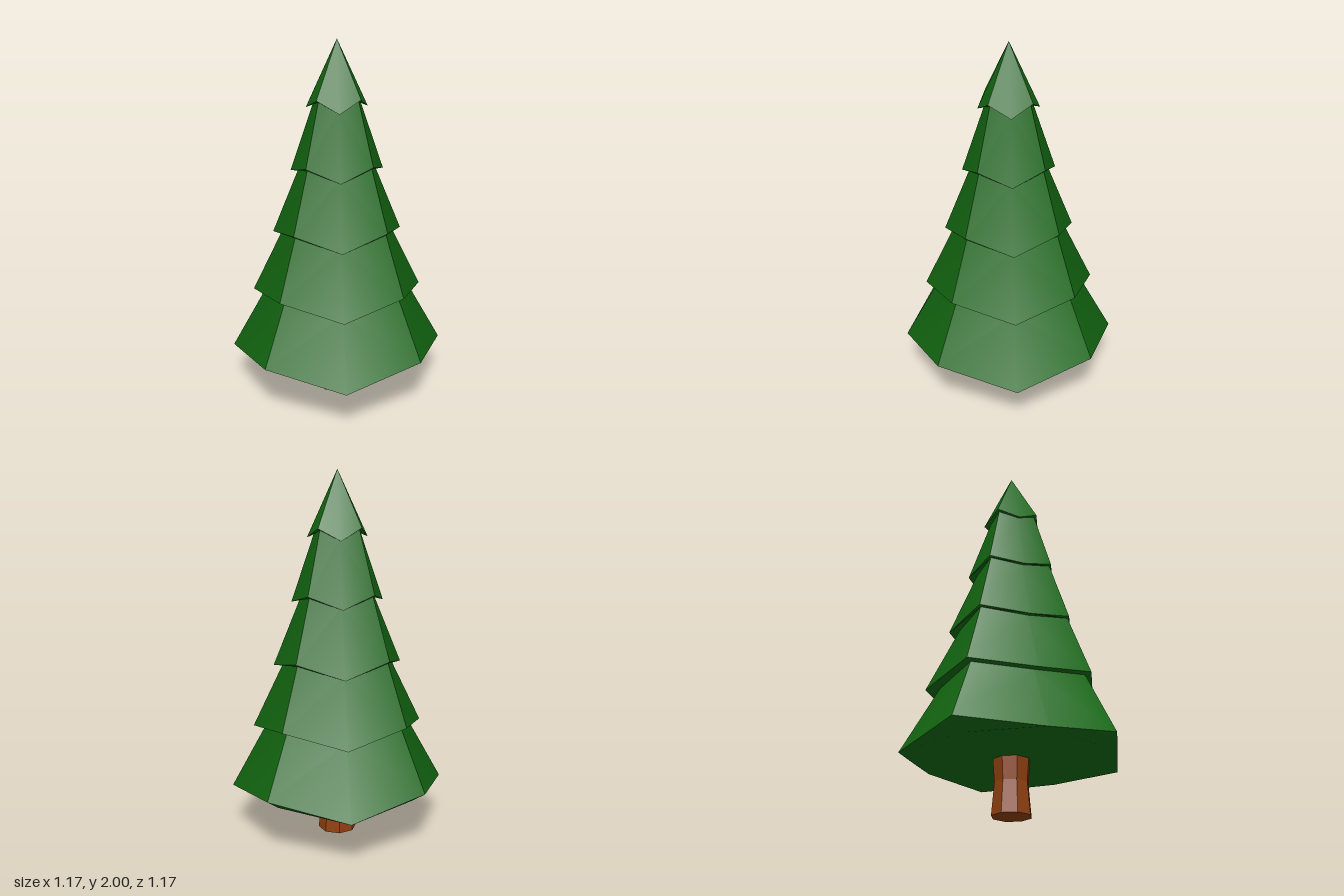
import * as THREE from 'three';
import { toCreasedNormals } from 'three/addons/utils/BufferGeometryUtils.js';

const SIDES = 8;

// Stack of octagonal rings: [axisRadius, axisY, diagonalRadius, diagonalY], bottom to top
function ringStack(rings) {
  const positions = [];
  const corner = (ring, i) => {
    const angle = (i / SIDES) * Math.PI * 2;
    const k = (i % 2) * 2;
    return [Math.sin(angle) * ring[k], ring[k + 1], Math.cos(angle) * ring[k]];
  };
  const triangle = (a, b, c) => positions.push(...a, ...b, ...c);
  for (let r = 0; r < rings.length - 1; r++) {
    const low = rings[r], high = rings[r + 1];
    for (let i = 0; i < SIDES; i++) {
      const a = corner(low, i), b = corner(low, i + 1);
      const c = corner(high, i + 1), d = corner(high, i);
      // mirror the split so every quarter is symmetric
      if (i % 2 === 0) {
        if (low[0] > 0) triangle(a, b, d);
        if (high[0] > 0) triangle(b, c, d);
      } else {
        if (low[0] > 0) triangle(a, b, c);
        if (high[0] > 0) triangle(a, c, d);
      }
    }
  }
  const geometry = new THREE.BufferGeometry();
  geometry.setAttribute('position', new THREE.Float32BufferAttribute(positions, 3));
  return geometry;
}

export function createModel() {
  const tree = new THREE.Group();
  tree.name = 'pineTree';

  // Foliage: each skirt has a drooping zigzag rim, then narrows to a neck under the next one
  const foliageRings = [
    [0, 0.29, 0, 0.29], [0.5, 0.29, 0.5, 0.29],
    [0.583, 0.28, 0.583, 0.35], [0.385, 0.64, 0.425, 0.68],
    [0.46, 0.625, 0.46, 0.69], [0.29, 0.98, 0.335, 1.02],
    [0.345, 0.965, 0.345, 1.03], [0.2, 1.325, 0.235, 1.36],
    [0.245, 1.31, 0.245, 1.37], [0.125, 1.665, 0.145, 1.70],
    [0.16, 1.65, 0.16, 1.71], [0, 2, 0, 2],
  ];
  const foliage = new THREE.Mesh(
    toCreasedNormals(ringStack(foliageRings), THREE.MathUtils.degToRad(42)),
    new THREE.MeshStandardMaterial({ color: 0x146a12 })
  );
  foliage.name = 'foliage';
  tree.add(foliage);

  // Trunk: eight sides with a slight waist
  const trunkRings = [[0, 0], [0.106, 0], [0.09, 0.17], [0.1, 0.3], [0, 0.3]]
    .map(([radius, y]) => [radius, y, radius, y]);
  const trunkGeometry = ringStack(trunkRings);
  trunkGeometry.computeVertexNormals();
  const trunk = new THREE.Mesh(
    trunkGeometry,
    new THREE.MeshStandardMaterial({ color: 0x8f4010, flatShading: true })
  );
  trunk.name = 'trunk';
  tree.add(trunk);

  return tree;
}
